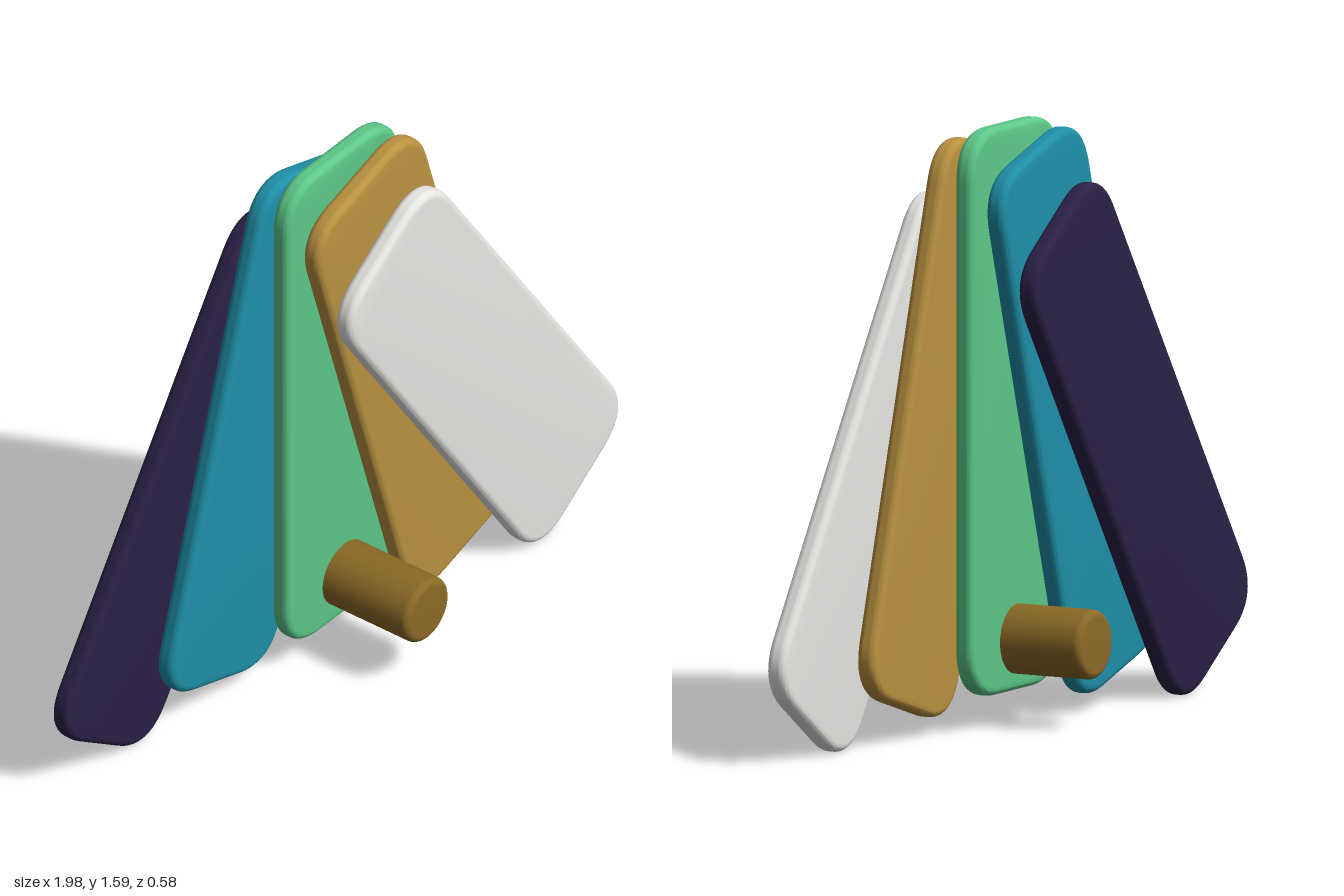
import * as THREE from 'three';
import { toCreasedNormals } from 'three/addons/utils/BufferGeometryUtils.js';

const WIDTH = 0.48, HEIGHT = 1.5, THICK = 0.056, BEVEL = 0.02, CORNER = 0.12;

// Rounded card with softened edges, centred on the origin
function cardGeometry() {
  const w = WIDTH / 2 - BEVEL, h = HEIGHT / 2 - BEVEL, r = CORNER;
  const s = new THREE.Shape();
  s.moveTo(-w + r, -h);
  s.lineTo(w - r, -h);
  s.quadraticCurveTo(w, -h, w, -h + r);
  s.lineTo(w, h - r);
  s.quadraticCurveTo(w, h, w - r, h);
  s.lineTo(-w + r, h);
  s.quadraticCurveTo(-w, h, -w, h - r);
  s.lineTo(-w, -h + r);
  s.quadraticCurveTo(-w, -h, -w + r, -h);
  const depth = THICK - 2 * BEVEL;
  const geo = new THREE.ExtrudeGeometry(s, {
    depth, bevelEnabled: true, bevelSize: BEVEL, bevelThickness: BEVEL,
    bevelSegments: 6, curveSegments: 12,
  });
  geo.translate(0, 0, -depth / 2);
  return toCreasedNormals(geo, 0.45);
}

// Round pin along z with rounded rims
function pinGeometry(radius, half, round) {
  const pts = [new THREE.Vector2(0, -half)];
  for (const end of [-1, 1]) {
    for (let i = 0; i <= 5; i++) {
      const a = (end < 0 ? i - 5 : i) / 5 * Math.PI / 2;
      pts.push(new THREE.Vector2(
        radius - round + round * Math.cos(a),
        end * (half - round) + round * Math.sin(a)));
    }
  }
  pts.push(new THREE.Vector2(0, half));
  return new THREE.LatheGeometry(pts, 48).rotateX(Math.PI / 2);
}

export function createModel() {
  const model = new THREE.Group();
  model.name = 'swatchFan';

  // Five cards fanned from back to front
  const cards = [
    ['navyCard', 0x2b2146],
    ['tealCard', 0x1e8fa8],
    ['greenCard', 0x5cc788],
    ['goldCard', 0xba9240],
    ['whiteCard', 0xe8e6e3],
  ];
  const geo = cardGeometry();
  cards.forEach(([name, color], i) => {
    const angle = (i - 2) * 0.2975;
    const card = new THREE.Mesh(geo, new THREE.MeshStandardMaterial({ color }));
    card.name = name;
    card.position.set(
      Math.sin(angle) * HEIGHT / 2,
      0.095 + Math.cos(angle) * HEIGHT / 2,
      -0.021 + (i - 2) * 0.07);
    card.rotation.z = angle;
    model.add(card);
  });

  // Pivot pin through the fan
  const pin = new THREE.Mesh(
    pinGeometry(0.092, 0.288, 0.02),
    new THREE.MeshStandardMaterial({ color: 0x8c6a26 }));
  pin.name = 'pivotPin';
  pin.position.set(0, 0.233, 0);
  model.add(pin);

  return model;
}
